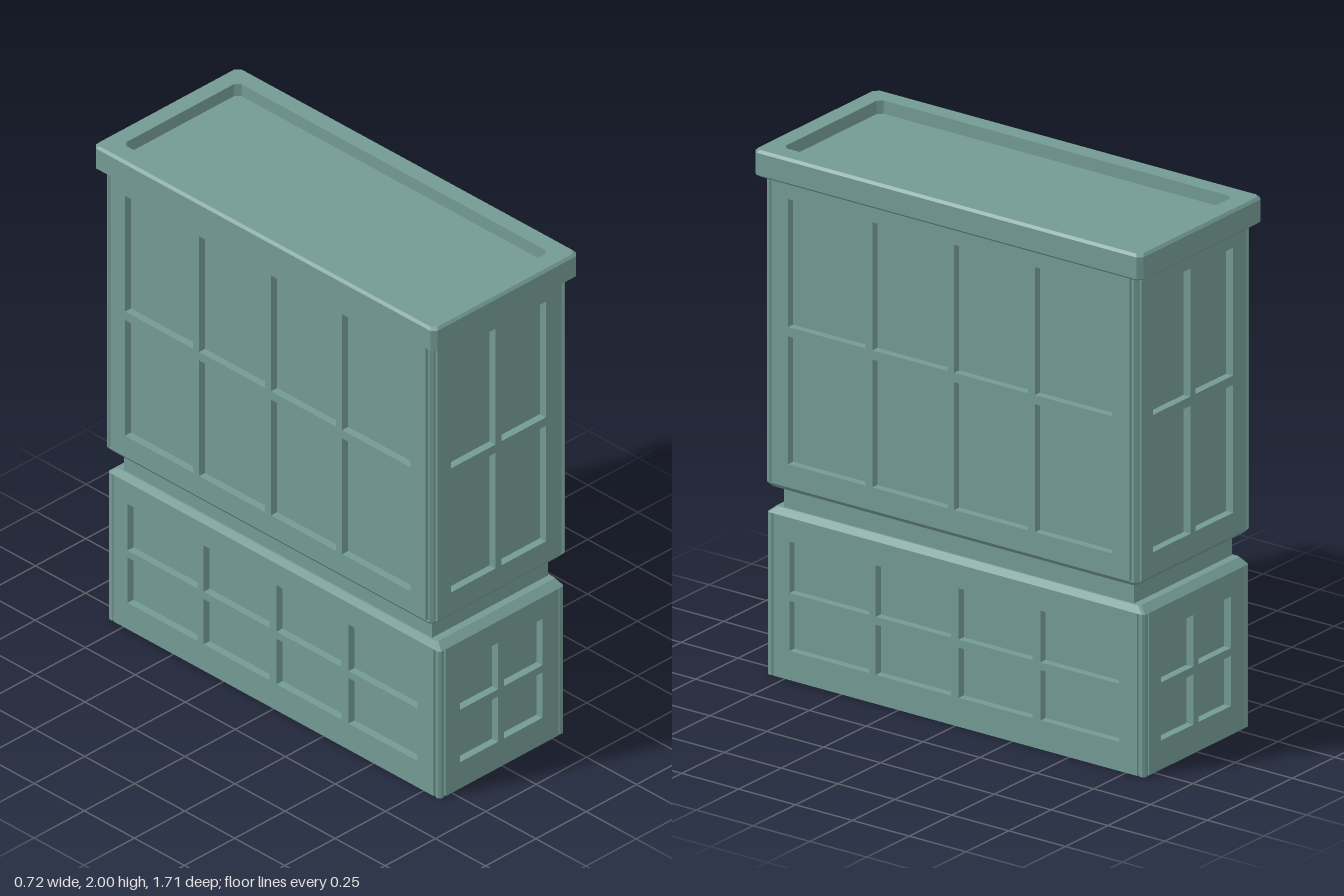
import * as THREE from 'three';

const material = new THREE.MeshStandardMaterial({ color: 0x739a94, flatShading: true });
const RECESS = 0.03; // depth of the window panes behind the wall face

function addMesh(parent, name, geometry, x = 0, y = 0, z = 0) {
  const mesh = new THREE.Mesh(geometry, material);
  mesh.name = name;
  mesh.position.set(x, y, z);
  parent.add(mesh);
  return mesh;
}

// Rectangle with cut corners, counterclockwise seen from above
function loop([hx, hz, y], cut) {
  return [
    [hx, hz - cut], [hx, -hz + cut], [hx - cut, -hz], [-hx + cut, -hz],
    [-hx, -hz + cut], [-hx, hz - cut], [-hx + cut, hz], [hx - cut, hz],
  ].map(([x, z]) => new THREE.Vector3(x, y, z));
}

// Closed solid through a stack of [halfX, halfZ, y] sections
function loft(sections, cut) {
  const loops = sections.map((s) => loop(s, cut));
  const points = [];
  for (let s = 0; s < loops.length - 1; s++) {
    const a = loops[s], b = loops[s + 1];
    for (let i = 0; i < 8; i++) {
      const j = (i + 1) % 8;
      points.push(a[i], a[j], b[j], a[i], b[j], b[i]);
    }
  }
  const bottom = loops[0], top = loops[loops.length - 1];
  for (let i = 1; i < 7; i++) {
    points.push(top[0], top[i], top[i + 1], bottom[0], bottom[i + 1], bottom[i]);
  }
  const geometry = new THREE.BufferGeometry().setFromPoints(points);
  geometry.computeVertexNormals();
  return geometry;
}

function rectangle(PathType, x0, x1, y0, y1) {
  return new PathType([[x0, y0], [x1, y0], [x1, y1], [x0, y1]].map((p) => new THREE.Vector2(...p)));
}

// Wall with a grid of window openings, its outer face at z = RECESS
function windowWall(half, y0, y1, columns, rows) {
  const shape = rectangle(THREE.Shape, -half, half, y0, y1);
  for (const [a, b] of columns) {
    for (const [c, d] of rows) shape.holes.push(rectangle(THREE.Path, a, b, c, d));
  }
  return new THREE.ExtrudeGeometry(shape, { depth: RECESS, bevelEnabled: false });
}

// Pane core, four window walls and four corner posts
function windowedStorey(name, { hx, hz, y0, y1, cut, endColumns, sideColumns, rows }) {
  const storey = new THREE.Group();
  storey.name = name;
  const ix = hx - RECESS, iz = hz - RECESS;
  addMesh(storey, 'windowPanes', new THREE.BoxGeometry(2 * ix, y1 - y0, 2 * iz), 0, (y0 + y1) / 2, 0);

  const endWall = windowWall(ix, y0, y1, endColumns, rows);
  const sideWall = windowWall(iz, y0, y1, sideColumns, rows);
  addMesh(storey, 'frontWall', endWall, 0, 0, iz);
  addMesh(storey, 'backWall', endWall, 0, 0, -iz).rotation.y = Math.PI;
  addMesh(storey, 'leftWall', sideWall, ix, 0, 0).rotation.y = Math.PI / 2;
  addMesh(storey, 'rightWall', sideWall, -ix, 0, 0).rotation.y = -Math.PI / 2;

  const h = RECESS / 2;
  const post = loft([[h, h, y0], [h, h, y1]], cut);
  for (const sx of [-1, 1]) {
    for (const sz of [-1, 1]) addMesh(storey, 'cornerPost', post, sx * (hx - h), 0, sz * (hz - h));
  }
  return storey;
}

export function createModel() {
  const model = new THREE.Group();
  model.name = 'building';

  // Lower storey and its sloped top
  model.add(windowedStorey('lowerStorey', {
    hx: 0.31, hz: 0.83, y0: 0, y1: 0.615, cut: 0.008,
    endColumns: [[-0.21, -0.02], [0.01, 0.2]],
    sideColumns: [[-0.73, -0.38], [-0.35, -0.02], [0.015, 0.34], [0.375, 0.72]],
    rows: [[0.11, 0.3], [0.33, 0.525]],
  }));
  addMesh(model, 'lowerLedge', loft([[0.31, 0.83, 0.615], [0.295, 0.8, 0.64]], 0.008));

  // Recessed band between the storeys
  addMesh(model, 'neckBand', new THREE.BoxGeometry(0.576, 0.1, 1.54), 0, 0.685, 0);

  // Upper storey on a bevelled underside
  addMesh(model, 'upperUnderside', loft([[0.323, 0.803, 0.725], [0.337, 0.817, 0.742]], 0.012));
  model.add(windowedStorey('upperStorey', {
    hx: 0.337, hz: 0.817, y0: 0.742, y1: 1.905, cut: 0.012,
    endColumns: [[-0.24, -0.02], [0.01, 0.23]],
    sideColumns: [[-0.715, -0.375], [-0.345, -0.015], [0.015, 0.34], [0.37, 0.71]],
    rows: [[0.83, 1.315], [1.35, 1.835]],
  }));

  // Overhanging cornice with a sunken roof
  addMesh(model, 'cornice', loft([
    [0.352, 0.844, 1.898], [0.362, 0.854, 1.907], [0.362, 0.854, 1.99],
    [0.353, 0.845, 2], [0.285, 0.778, 2], [0.285, 0.778, 1.95],
  ], 0.018));

  return model;
}
